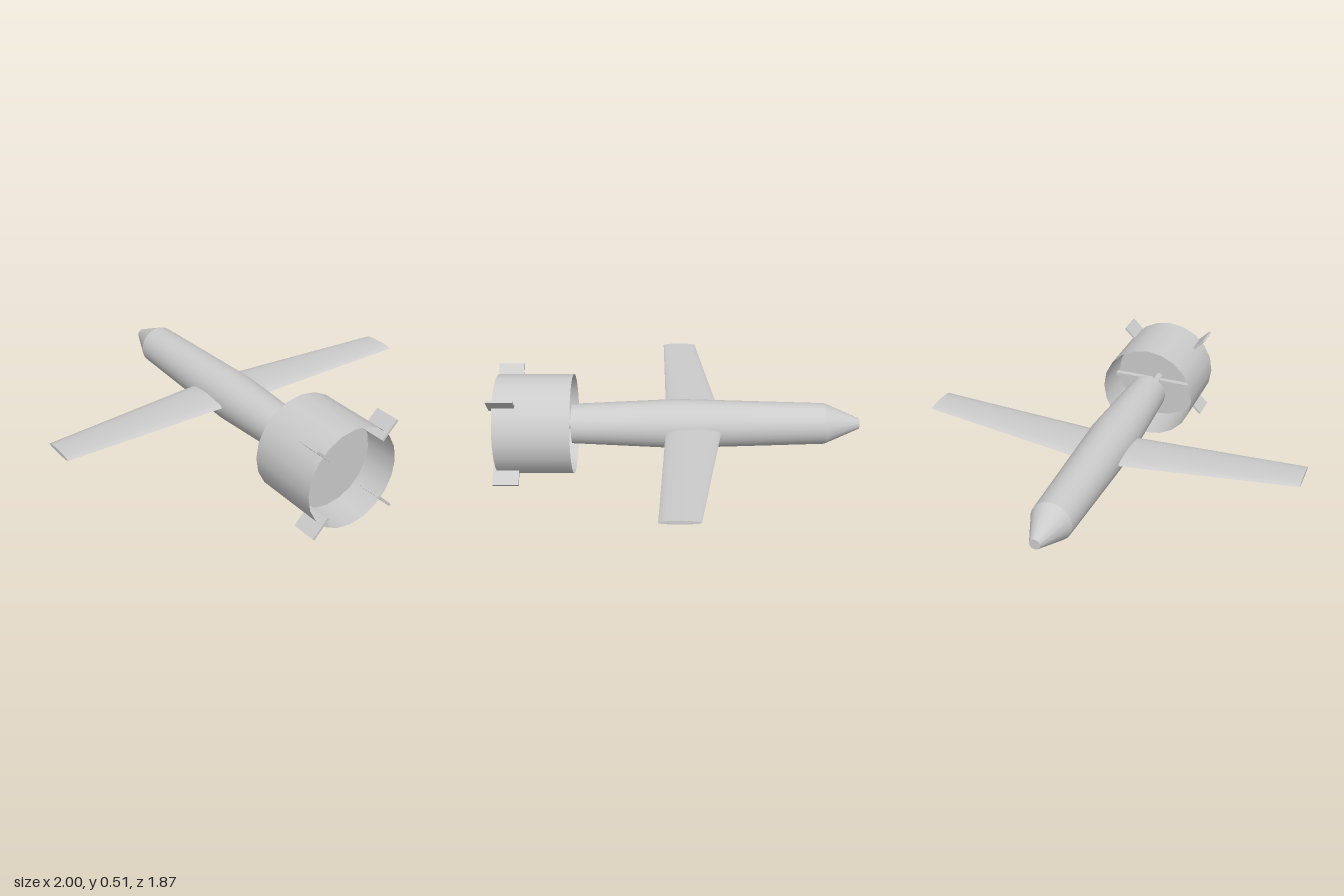
import * as THREE from 'three';
import { toCreasedNormals } from 'three/addons/utils/BufferGeometryUtils.js';

const AXIS_Y = 0.257;
const DUCT_R = 0.257;

export function createModel() {
  const model = new THREE.Group();
  const material = new THREE.MeshStandardMaterial({ color: 0xcccccc });
  const thin = new THREE.MeshStandardMaterial({ color: 0xcccccc, side: THREE.DoubleSide });

  function add(name, geometry, mat, x = 0, y = AXIS_Y, z = 0) {
    const mesh = new THREE.Mesh(geometry, mat);
    mesh.name = name;
    mesh.position.set(x, y, z);
    model.add(mesh);
    return mesh;
  }

  // Fuselage: profile of [radius, z] turned about the long axis, nose towards -z
  const profile = [[0, -0.935], [0.027, -0.935], [0.105, -0.755], [0.127, 0], [0.102, 0.54], [0, 0.54]];
  const body = new THREE.LatheGeometry(profile.map(([r, z]) => new THREE.Vector2(r, z)), 32);
  body.rotateX(Math.PI / 2);
  add('fuselage', toCreasedNormals(body, 0.35), thin);

  // Wing: one tapered surface running from tip to tip through the fuselage
  add('wing', wingGeometry(), thin, 0, 0, 0);

  // Open duct around the tail
  const duct = new THREE.CylinderGeometry(DUCT_R, DUCT_R, 0.385, 20, 1, true);
  duct.rotateX(Math.PI / 2);
  add('duct', duct, thin, 0, AXIS_Y, 0.7225);

  // Propeller disc, hub shaft and crossbar inside the duct
  const disc = new THREE.CylinderGeometry(0.24, 0.24, 0.02, 20);
  disc.rotateX(Math.PI / 2);
  add('propellerDisc', disc, material, 0, AXIS_Y, 0.74);
  const shaft = new THREE.CylinderGeometry(0.025, 0.025, 0.2, 12);
  shaft.rotateX(Math.PI / 2);
  add('propellerShaft', shaft, material, 0, AXIS_Y, 0.635);
  add('crossbar', new THREE.BoxGeometry(0.48, 0.02, 0.03), material, 0, AXIS_Y, 0.69);

  // Four diagonal tail fins crossing the duct wall
  for (let i = 0; i < 4; i++) {
    const angle = Math.PI / 4 + (i * Math.PI) / 2;
    const r = 0.272;
    const fin = add('tailFin', new THREE.BoxGeometry(0.116, 0.012, 0.132), material,
      Math.cos(angle) * r, AXIS_Y + Math.sin(angle) * r, 0.868);
    fin.rotation.z = angle;
  }
  return model;
}

// Lofts an arched aerofoil section through the span stations
function wingGeometry() {
  const stations = [
    { x: -1, lead: -0.105, trail: 0.082, y: 0.284, t: 0.012 },
    { x: 0, lead: -0.237, trail: 0.056, y: 0.258, t: 0.024 },
    { x: 1, lead: -0.105, trail: 0.082, y: 0.284, t: 0.012 },
  ];
  const N = 16;
  const positions = [];
  const index = [];
  for (const s of stations) {
    const chord = s.trail - s.lead;
    for (let i = 0; i < N; i++) {
      const a = (i / N) * Math.PI * 2;
      const u = 0.5 - 0.5 * Math.cos(a);
      const bulge = Math.sin(a) > 0 ? 1 : 0.6;
      positions.push(s.x, s.y + s.t * bulge * Math.sin(a), s.lead + chord * u);
    }
  }
  for (let s = 0; s < stations.length - 1; s++) {
    for (let i = 0; i < N; i++) {
      const a = s * N + i;
      const b = s * N + ((i + 1) % N);
      index.push(a, b, a + N, b, b + N, a + N);
    }
  }
  // Tip caps
  const last = (stations.length - 1) * N;
  for (let i = 1; i < N - 1; i++) {
    index.push(0, i + 1, i, last, last + i, last + i + 1);
  }
  const geometry = new THREE.BufferGeometry();
  geometry.setAttribute('position', new THREE.Float32BufferAttribute(positions, 3));
  geometry.setIndex(index);
  return toCreasedNormals(geometry, 0.6);
}
